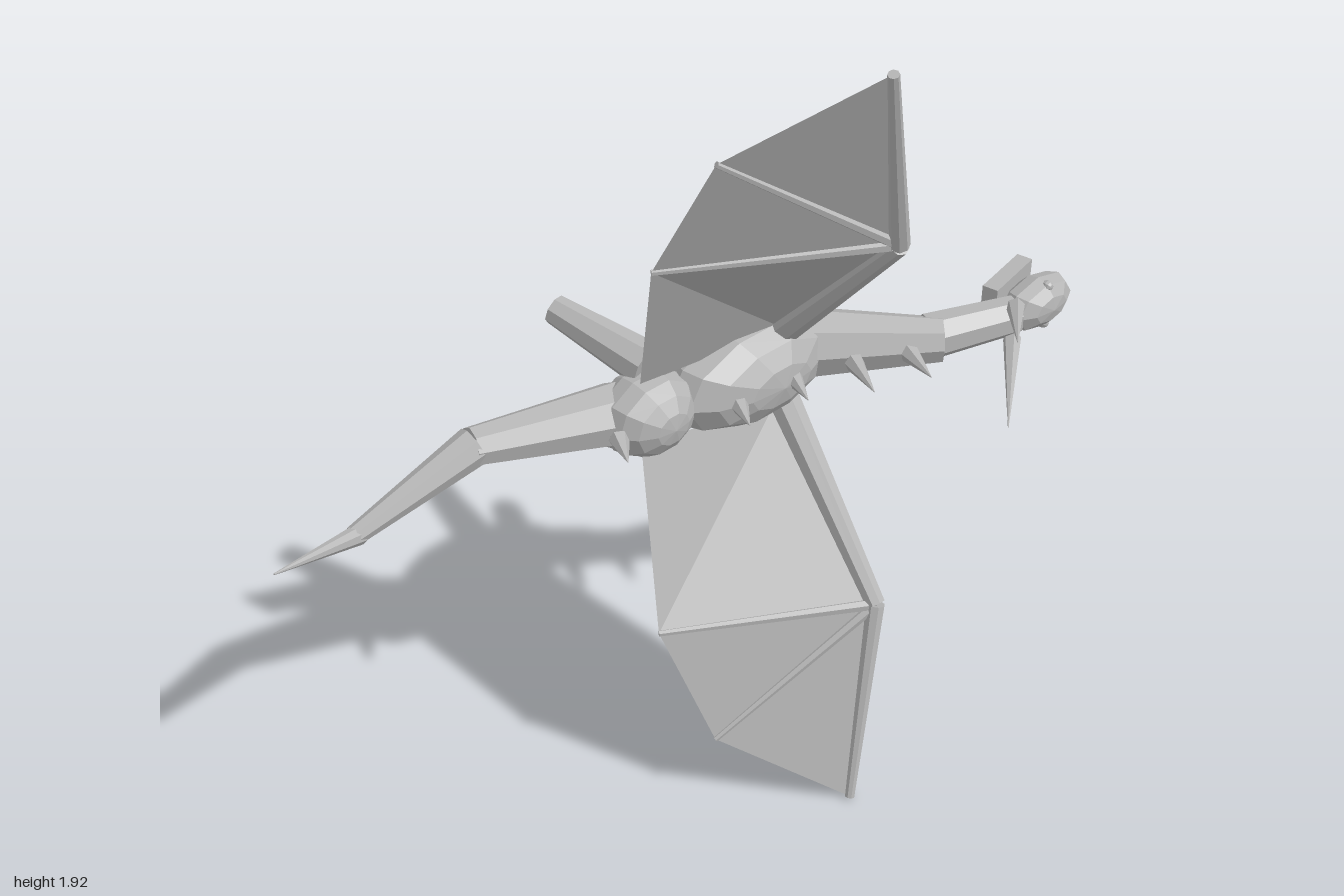
import * as THREE from 'three';

export function createModel() {
  const dragon = new THREE.Group();
  dragon.name = 'dragon';
  const stone = new THREE.MeshStandardMaterial({ color: 0xb4b4b4, flatShading: true });
  stone.name = 'stoneGrey';
  const membraneGrey = new THREE.MeshStandardMaterial({ color: 0xb4b4b4, flatShading: true, side: THREE.DoubleSide });
  membraneGrey.name = 'membraneGrey';
  const MID = 0.965; // height of the plane the body is mirrored about

  const add = (name, geometry, material = stone) => {
    const mesh = new THREE.Mesh(geometry, material);
    mesh.name = name;
    dragon.add(mesh);
    return mesh;
  };

  // tapered limb from point a to point b
  const limb = (name, a, b, ra, rb, sides = 8) => {
    const from = new THREE.Vector3(...a), to = new THREE.Vector3(...b);
    const dir = to.clone().sub(from);
    const mesh = add(name, new THREE.CylinderGeometry(rb, ra, dir.length(), sides));
    mesh.position.copy(from).add(to).multiplyScalar(0.5);
    mesh.quaternion.setFromUnitVectors(new THREE.Vector3(0, 1, 0), dir.normalize());
    return mesh;
  };

  // faceted ellipsoid with its pole along the back (z)
  const blob = (name, center, radii, w, h) => {
    const mesh = add(name, new THREE.SphereGeometry(1, w, h).rotateX(Math.PI / 2).scale(...radii));
    mesh.position.set(...center);
    return mesh;
  };

  // torso and hips
  blob('chest', [0.2, MID, -0.105], [0.24, 0.13, 0.13], 10, 8);
  blob('hips', [-0.085, MID, -0.125], [0.12, 0.1, 0.1], 10, 8);

  // neck and head
  limb('lowerNeck', [0.36, MID, -0.075], [0.6, MID, 0.135], 0.085, 0.054);
  limb('upperNeck', [0.58, MID, 0.105], [0.8, MID, 0.183], 0.056, 0.047);
  blob('head', [0.885, MID, 0.18], [0.11, 0.066, 0.058], 8, 6);
  const jaw = add('jaw', new THREE.BoxGeometry(0.17, 0.125, 0.04));
  jaw.position.set(0.853, MID, 0.113);
  jaw.rotation.y = 0.2;

  // tail
  limb('tailBase', [-0.14, MID, -0.165], [-0.485, 1.015, -0.235], 0.075, 0.044);
  limb('tailMiddle', [-0.475, 1.015, -0.233], [-0.78, 0.925, -0.256], 0.045, 0.022);
  limb('tailTip', [-0.765, 0.922, -0.257], [-1, 0.99, -0.2], 0.023, 0.002);

  // spikes along the spine: base x, base z, tip x, tip z
  [[-0.195, -0.09, -0.235, -0.015], [0.085, -0.01, 0.045, 0.07], [0.245, 0.0, 0.205, 0.09],
    [0.385, 0.06, 0.335, 0.17], [0.505, 0.12, 0.47, 0.22]].forEach(([bx, bz, tx, tz]) =>
    limb('spineSpike', [bx, MID, bz], [tx, MID, tz], 0.024, 0.001, 6));

  // mirrored parts
  for (const s of [1, -1]) {
    const p = (x, side, z) => [x, MID + s * side, z];
    const label = s > 0 ? 'upper' : 'lower';

    blob(label + 'Eye', p(0.89, 0.052, 0.205), [0.014, 0.014, 0.014], 8, 6);
    limb(label + 'Horn', p(0.775, 0.045, 0.205), p(0.58, 0.118, 0.366), 0.022, 0.001, 6);
    limb(label + 'FrontLeg', p(0.3, 0.105, -0.15), p(0.37, 0.157, -0.395), 0.052, 0.034);
    limb(label + 'BackLeg', p(-0.055, 0.095, -0.15), p(-0.115, 0.152, -0.395), 0.055, 0.035);

    // wing bones
    const shoulder = p(0.27, 0.09, -0.06), elbow = p(0.235, 0.49, 0.3), tip = p(0.085, 0.958, 0.388);
    const inner = p(-0.2, 0.488, 0.033), middle = p(-0.147, 0.768, 0.165), root = p(-0.11, 0.09, -0.115);
    limb(label + 'WingArm', shoulder, elbow, 0.04, 0.024);
    limb(label + 'WingForearm', elbow, tip, 0.023, 0.012);
    limb(label + 'InnerFinger', elbow, inner, 0.014, 0.007, 6);
    limb(label + 'MiddleFinger', elbow, middle, 0.014, 0.007, 6);

    // wing skin stretched between the bones
    const skin = new THREE.BufferGeometry();
    const faces = [[elbow, tip, middle], [elbow, middle, inner], [elbow, inner, shoulder], [shoulder, inner, root]];
    const ordered = faces.map(f => (s > 0 ? f : [...f].reverse()));
    skin.setAttribute('position', new THREE.Float32BufferAttribute(ordered.flat(2), 3));
    skin.computeVertexNormals();
    add(label + 'WingMembrane', skin, membraneGrey);
  }
  return dragon;
}
